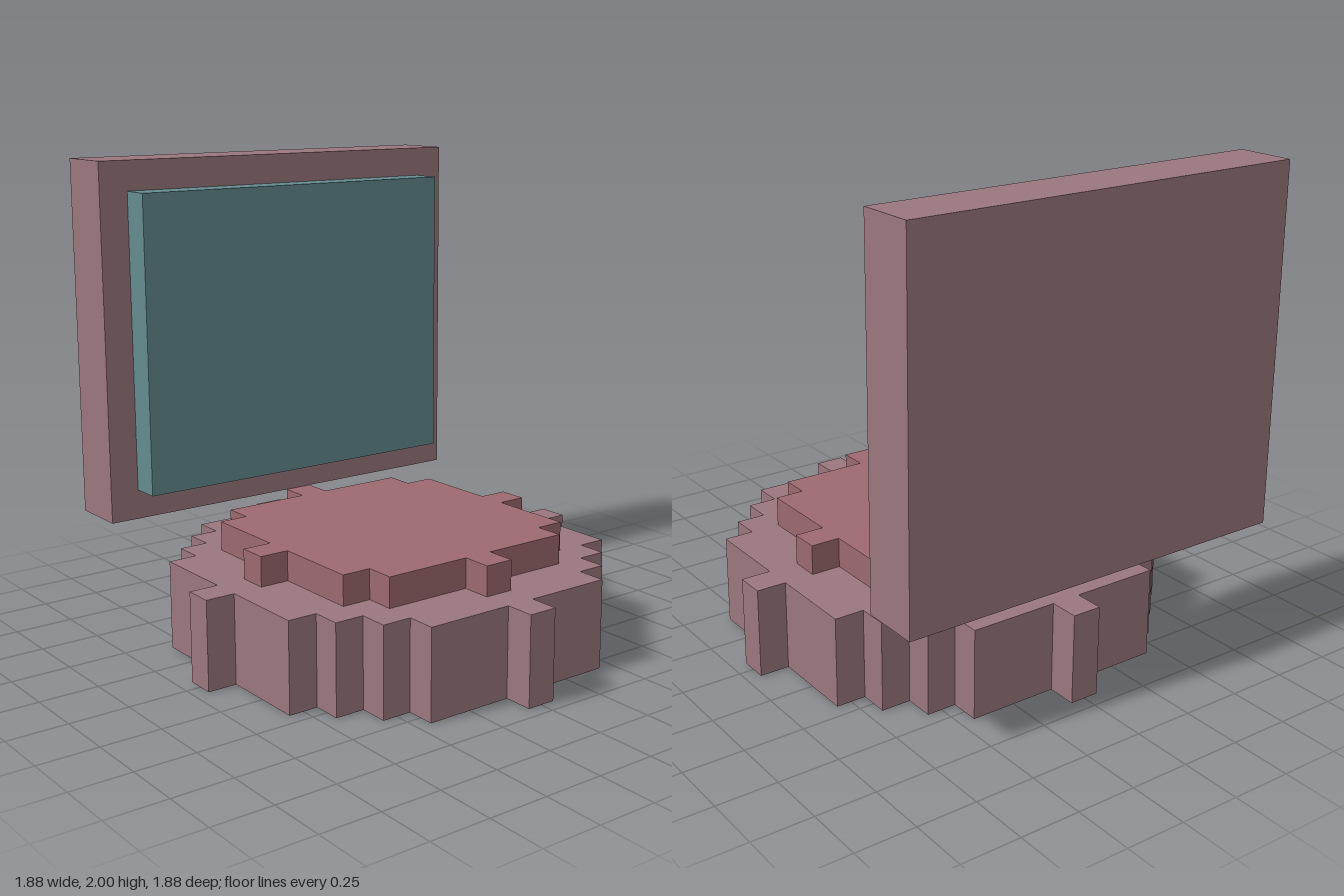
import * as THREE from 'three';

const U = 0.125; // one block of the stepped grid

const material = (color) => new THREE.MeshStandardMaterial({ color, flatShading: true });

// Stepped round slab: outline of all blocks within the given radius
function blockDisc(name, radius, y, height, mat) {
  const halfWidth = (row) => Math.floor(Math.sqrt(radius * radius - row * row)) + 0.5;
  const side = [];
  for (let row = -radius; row <= radius; row++) {
    const w = halfWidth(row);
    if (row === -radius || halfWidth(row - 1) !== w) side.push(new THREE.Vector2(w, row - 0.5));
    if (row === radius || halfWidth(row + 1) !== w) side.push(new THREE.Vector2(w, row + 0.5));
  }
  const outline = [...side, ...side.map((p) => p.clone().negate())];
  outline.forEach((p) => p.multiplyScalar(U));
  const geometry = new THREE.ExtrudeGeometry(new THREE.Shape(outline), {
    depth: height * U,
    bevelEnabled: false,
  });
  geometry.rotateX(-Math.PI / 2);
  const mesh = new THREE.Mesh(geometry, mat);
  mesh.name = name;
  mesh.position.y = y * U;
  return mesh;
}

// Box given by its low and high corners in blocks
function block(name, low, high, mat) {
  const a = new THREE.Vector3(...low).multiplyScalar(U);
  const b = new THREE.Vector3(...high).multiplyScalar(U);
  const size = b.clone().sub(a);
  const mesh = new THREE.Mesh(new THREE.BoxGeometry(size.x, size.y, size.z), mat);
  mesh.name = name;
  mesh.position.copy(a).add(b).multiplyScalar(0.5);
  return mesh;
}

export function createModel() {
  const group = new THREE.Group();
  group.name = 'seat';
  const frame = material(0x9b777f);
  const red = material(0x9d6a70);
  const teal = material(0x658c90);

  // Round base with a smaller cushion on top
  group.add(blockDisc('base', 7, 0, 3, frame));
  group.add(blockDisc('cushion', 5, 3, 1, red));

  // Upright back, one block off centre, with its raised pad
  group.add(block('backPanel', [-7.5, 4, -7.5], [6.5, 16, -5.5], frame));
  group.add(block('backPad', [-6.5, 5, -5.5], [5.5, 15, -4.5], teal));

  return group;
}
